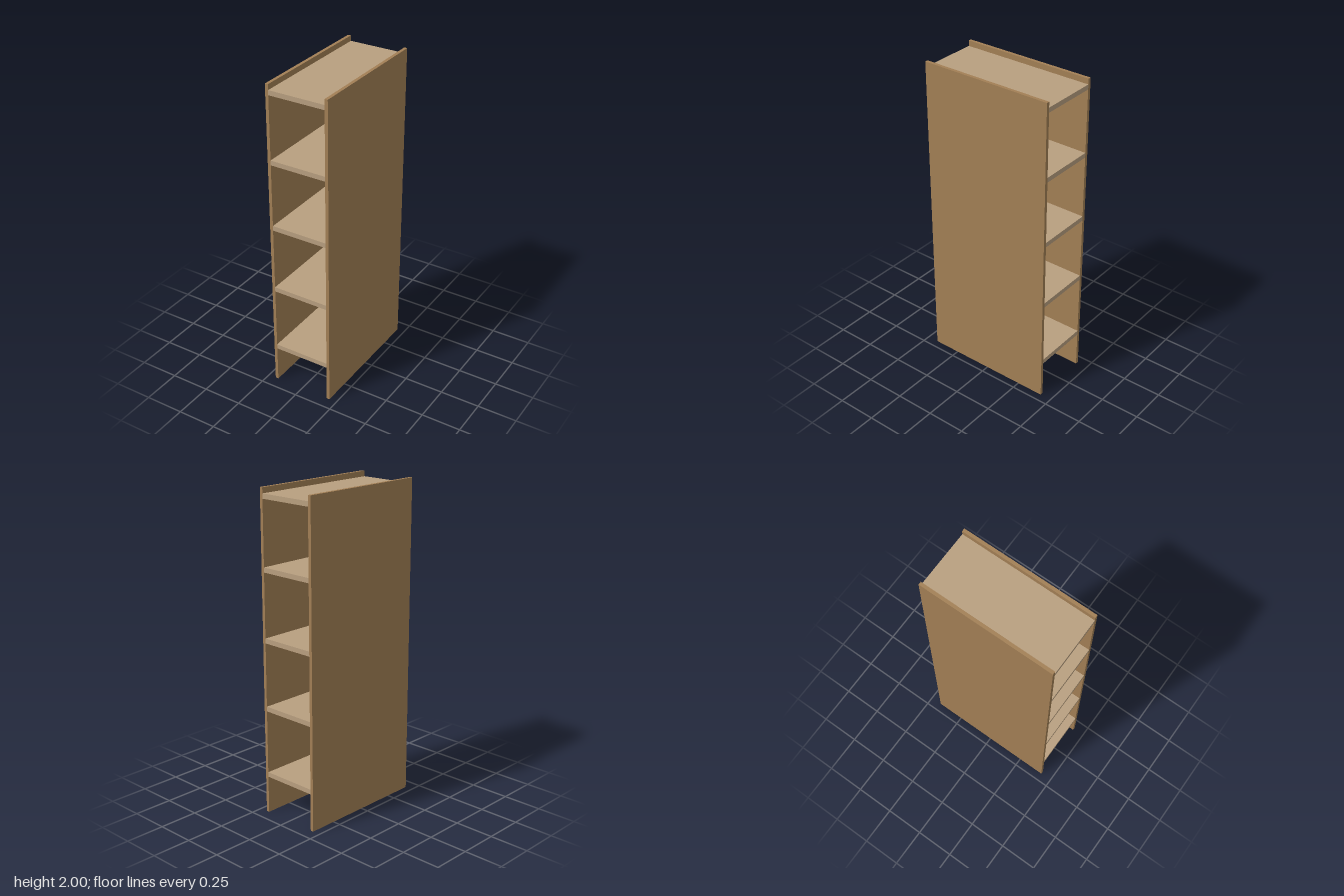
import * as THREE from 'three';

const WIDTH = 0.4, HEIGHT = 2, DEPTH = 0.85;
const PANEL = 0.02, SHELF = 0.03;

export function createModel() {
  const group = new THREE.Group();
  group.name = 'bookcase';
  const sideWood = new THREE.MeshStandardMaterial({ color: 0xa27f55 });
  const shelfWood = new THREE.MeshStandardMaterial({ color: 0xb89f7f });

  const addBoard = (name, w, h, x, y, material) => {
    const board = new THREE.Mesh(new THREE.BoxGeometry(w, h, DEPTH), material);
    board.name = name;
    board.position.set(x, y, 0);
    group.add(board);
  };

  // Full-height side panels
  for (const [name, side] of [['leftPanel', 1], ['rightPanel', -1]]) {
    addBoard(name, PANEL, HEIGHT, side * (WIDTH - PANEL) / 2, HEIGHT / 2, sideWood);
  }

  // Five evenly spaced shelves between the panels, open front and back
  for (let i = 0; i < 5; i++) {
    addBoard(`shelf${i + 1}`, WIDTH - 2 * PANEL, SHELF, 0, 0.251 + i * 0.425, shelfWood);
  }
  return group;
}
